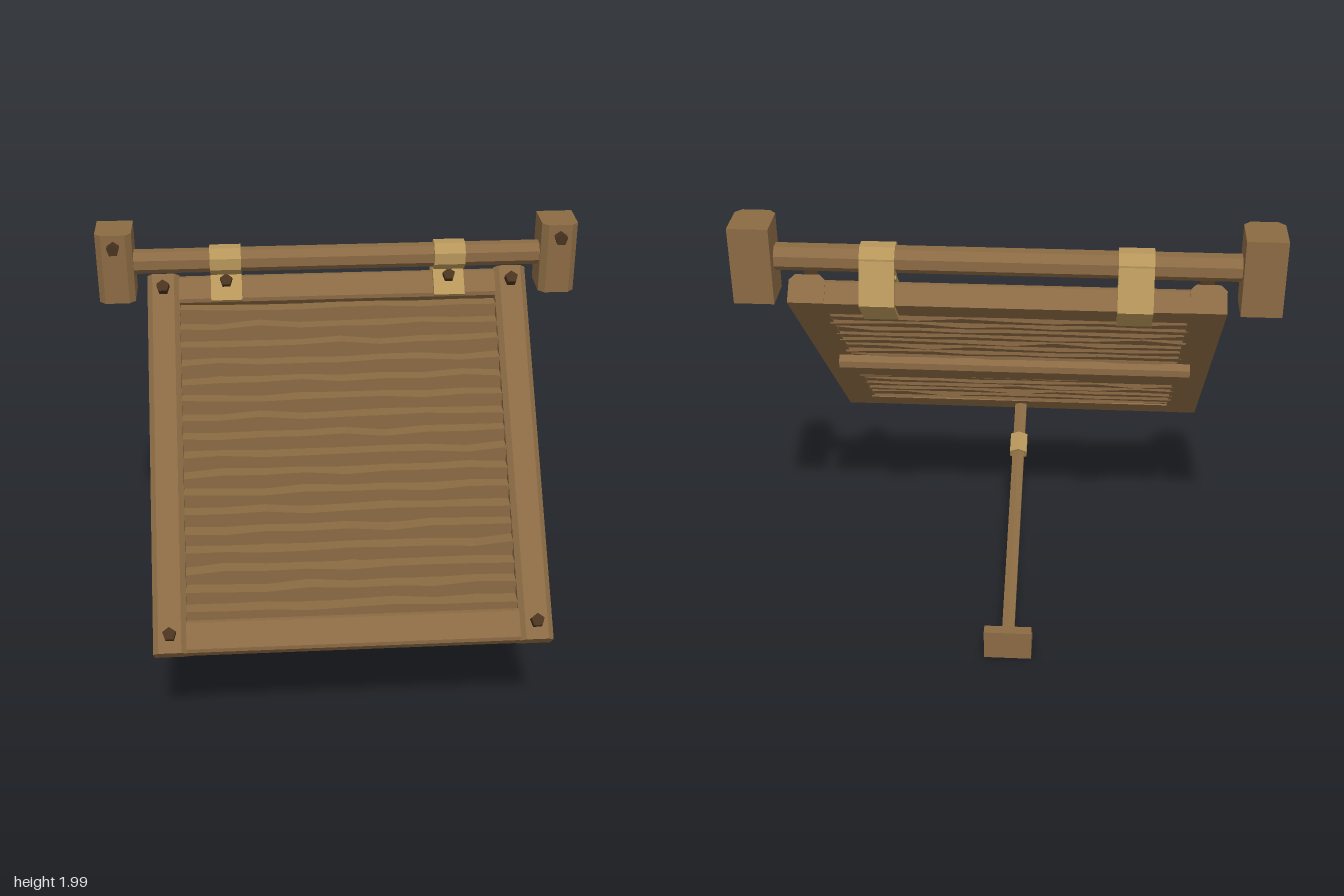
import * as THREE from 'three';

const wood = new THREE.MeshStandardMaterial({ color: 0x8a6a43 });
wood.name = 'wood';
const leather = new THREE.MeshStandardMaterial({ color: 0xb6965a });
leather.name = 'tan strap';
const iron = new THREE.MeshStandardMaterial({ color: 0x49331f });
iron.name = 'dark peg';

// Adds a faceted mesh to a parent
function add(parent, name, geometry, material, x = 0, y = 0, z = 0) {
  const g = geometry.index ? geometry.toNonIndexed() : geometry;
  g.computeVertexNormals();
  const mesh = new THREE.Mesh(g, material);
  mesh.name = name;
  mesh.position.set(x, y, z);
  parent.add(mesh);
  return mesh;
}

// Upright beam whose two front (+z) edges are chamfered
function beam(width, length, depth, c) {
  const w = width / 2, d = depth / 2;
  const shape = new THREE.Shape([
    [-w, -d], [w, -d], [w, d - c], [w - c, d], [-w + c, d], [-w, d - c],
  ].map(([x, y]) => new THREE.Vector2(x, y)));
  const g = new THREE.ExtrudeGeometry(shape, { depth: length, bevelEnabled: false });
  return g.translate(0, 0, -length / 2).rotateX(Math.PI / 2);
}
const crossBeam = (length, height, depth, c) => beam(height, length, depth, c).rotateZ(Math.PI / 2);

// Five-sided peg pointing along +z
const peg = (r, h) => new THREE.CylinderGeometry(r, r, h, 5).rotateX(Math.PI / 2).rotateZ(Math.PI);

// Four-sided, slightly crooked reed along x
function reed(row) {
  const g = new THREE.CylinderGeometry(1, 1, 1.36, 4, 8).rotateZ(Math.PI / 2);
  const p = g.attributes.position;
  for (let i = 0; i < p.count; i++) {
    const x = p.getX(i);
    const wave = Math.sin(x * 9 + row * 2.4) + Math.sin(x * 17 + row * 5.1);
    const r = 0.045 + 0.003 * Math.sin(x * 13 + row * 3.7);
    p.setY(i, p.getY(i) * r + 0.004 * wave);
    p.setZ(i, p.getZ(i) * r + 0.002 * wave - 0.006 * (1 - x * x));
  }
  return g;
}

// Cylinder between two points
function rod(parent, name, a, b, r, sides, material) {
  const dir = b.clone().sub(a);
  const g = new THREE.CylinderGeometry(r, r, dir.length(), sides);
  const mesh = add(parent, name, g, material);
  mesh.position.copy(a).add(b).multiplyScalar(0.5);
  mesh.quaternion.setFromUnitVectors(new THREE.Vector3(0, 1, 0), dir.normalize());
}

// Flat strip across x, between two (y, z) points
function strip(parent, name, x, a, b, thick) {
  const dy = b[0] - a[0], dz = b[1] - a[1];
  const g = new THREE.BoxGeometry(0.13, Math.hypot(dy, dz), thick);
  const mesh = add(parent, name, g, leather, x, (a[0] + b[0]) / 2, (a[1] + b[1]) / 2);
  mesh.rotation.x = Math.atan2(dz, dy);
}

export function createModel() {
  const model = new THREE.Group();
  model.name = 'proppedShutter';

  // Tilted shutter panel
  const panel = new THREE.Group();
  panel.name = 'shutterPanel';
  panel.position.set(0, 1.174, 0.013);
  panel.rotation.x = -Math.PI / 4;
  model.add(panel);

  add(panel, 'topRail', crossBeam(1.34, 0.12, 0.095, 0.012), wood, 0, 0.74, -0.0075);
  add(panel, 'bottomRail', crossBeam(1.34, 0.13, 0.095, 0.012), wood, 0, -0.735, -0.0075);
  add(panel, 'backing', new THREE.BoxGeometry(1.34, 1.4, 0.012), wood, 0, 0, -0.042);
  add(panel, 'backBatten', crossBeam(1.44, 0.15, 0.05, 0.02), wood, 0, 0.003, -0.08).rotation.x = Math.PI;

  const rows = 17;
  for (let i = 0; i < rows; i++) {
    add(panel, 'reed', reed(i), wood, 0, -0.64 + (1.28 * i) / (rows - 1), -0.008);
  }

  for (const s of [-1, 1]) {
    add(panel, 'stile', beam(0.135, 1.605, 0.11, 0.022), wood, s * 0.735, 0, 0);
    for (const y of [-0.73, 0.735]) {
      add(panel, 'stilePeg', peg(0.028, 0.04), iron, s * 0.735, y, 0.072);
    }

    // Strap hinge looped over the pole
    const x = s * 0.47;
    strip(panel, 'strapFront', x, [0.675, 0.05], [0.82, 0.05], 0.022);
    strip(panel, 'strapBack', x, [0.665, -0.062], [0.825, -0.062], 0.014);
    strip(panel, 'strapRise', x, [0.82, -0.064], [0.888, 0.095], 0.014);
    add(panel, 'strapPeg', peg(0.027, 0.035), iron, x, 0.757, 0.07);
    const loop = new THREE.CylinderGeometry(0.063, 0.063, 0.13, 8).rotateZ(Math.PI / 2).rotateX(Math.PI / 8);
    add(model, 'strapLoop', loop, leather, x, 1.845, -0.5);

    // Wall posts
    add(model, 'wallPost', beam(0.15, 0.3, 0.17, 0.025), wood, s * 0.925, 1.842, -0.505);
    add(model, 'postPeg', peg(0.027, 0.05), iron, s * 0.925, 1.94, -0.41);
  }

  // Hanging pole
  const pole = new THREE.CylinderGeometry(0.051, 0.051, 1.74, 8).rotateZ(Math.PI / 2).rotateX(Math.PI / 8);
  add(model, 'hangingPole', pole, wood, 0, 1.845, -0.5);

  // Prop stick with collar
  const low = new THREE.Vector3(0, 0.09, -0.515);
  const high = new THREE.Vector3(0, 0.613, 0.5);
  const at = (t) => low.clone().lerp(high, t);
  rod(model, 'propStick', low, high, 0.03, 6, wood);
  rod(model, 'propCollar', at(0.77), at(0.85), 0.043, 6, leather);

  // Foot bracket
  add(model, 'footPlate', new THREE.BoxGeometry(0.2, 0.135, 0.045), wood, 0, 0.0675, -0.5325);
  add(model, 'footBlock', crossBeam(0.2, 0.06, 0.115, 0.015), wood, 0, 0.03, -0.4975);
  add(model, 'footPeg', peg(0.021, 0.04), iron, 0, 0.033, -0.434);

  return model;
}
